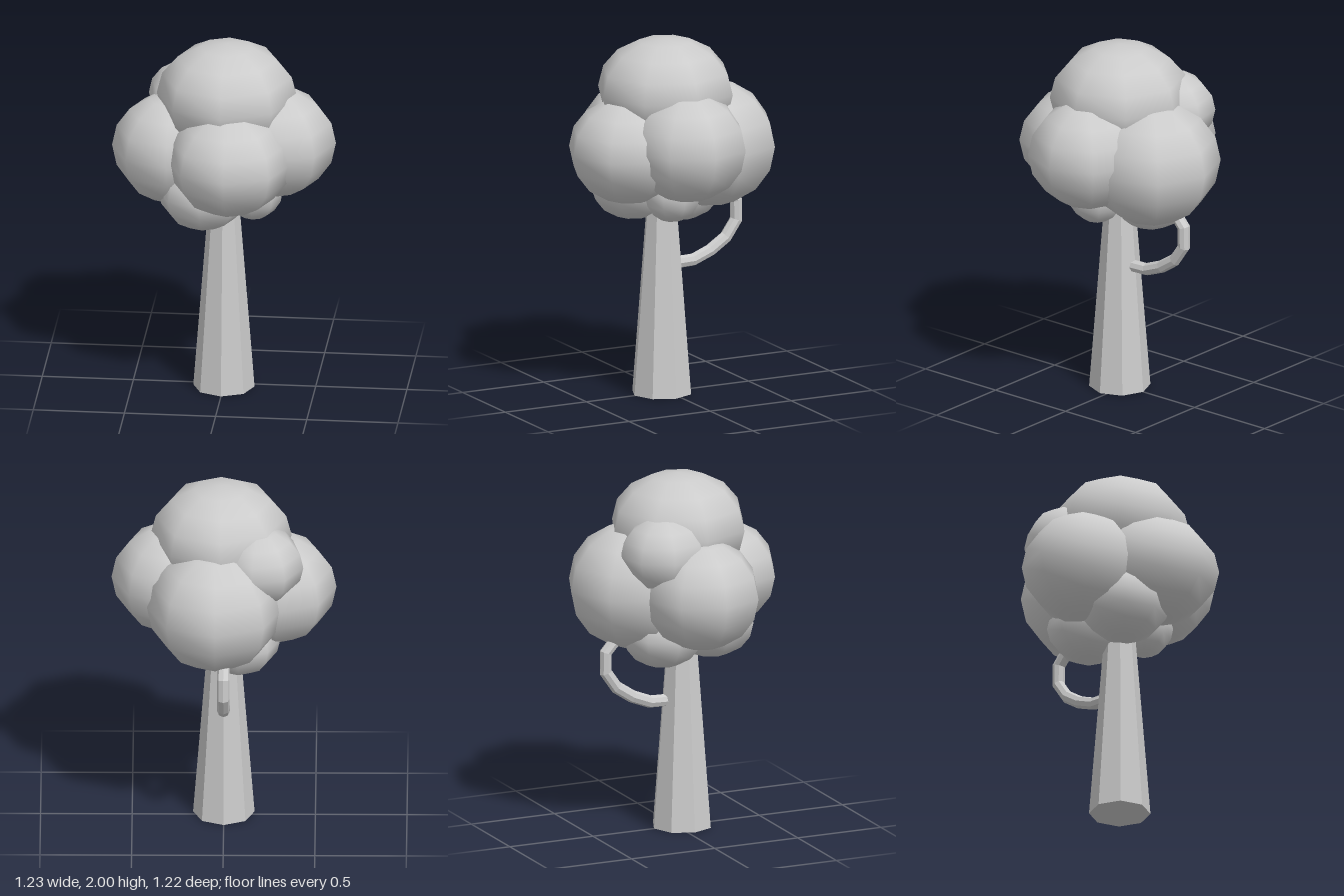
import * as THREE from 'three';

export function createModel() {
  const tree = new THREE.Group();
  tree.name = 'tree';
  const leafMaterial = new THREE.MeshStandardMaterial({ color: 0xcccccc });
  const barkMaterial = new THREE.MeshStandardMaterial({ color: 0xcccccc, flatShading: true });

  // Tapered eight-sided trunk, its top hidden in the crown
  const trunk = new THREE.Mesh(new THREE.CylinderGeometry(0.067, 0.168, 1.3, 8), barkMaterial);
  trunk.name = 'trunk';
  trunk.position.set(0, 0.65, 0.035);
  tree.add(trunk);

  // Branch curving out of the back of the trunk and up into the crown
  const path = new THREE.CatmullRomCurve3([
    [-0.045, 0.72], [-0.165, 0.725], [-0.29, 0.78], [-0.39, 0.86],
    [-0.432, 0.957], [-0.41, 1.06], [-0.34, 1.12], [-0.24, 1.15],
  ].map(([z, y]) => new THREE.Vector3(0, y, z)));
  const branch = new THREE.Mesh(new THREE.TubeGeometry(path, 7, 0.035, 8), barkMaterial);
  branch.name = 'branch';
  tree.add(branch);

  // Crown: flattened low-poly balls [name, x, y, z, radius, half height, turn]
  const crown = new THREE.Group();
  crown.name = 'crown';
  const ball = new THREE.SphereGeometry(1, 8, 8);
  [
    ['topFoliage', 0.015, 1.7, 0.02, 0.385, 0.3, 0],
    ['frontFoliage', 0.05, 1.4, 0.263, 0.343, 0.292, 0],
    ['backFoliage', 0.045, 1.385, -0.235, 0.375, 0.348, 0],
    ['leftFoliage', 0.283, 1.44, 0.022, 0.33, 0.302, 0],
    ['rightFoliage', -0.285, 1.383, 0.022, 0.33, 0.305, 0],
    ['upperBackFoliage', -0.195, 1.61, -0.165, 0.244, 0.212, -0.17],
    ['lowerFrontFoliage', -0.1, 1.18, 0.16, 0.25, 0.205, 0],
    ['lowerLeftFoliage', 0.165, 1.16, 0.06, 0.16, 0.16, 0],
    ['lowerBackFoliage', -0.08, 1.13, -0.12, 0.23, 0.19, 0],
  ].forEach(([name, x, y, z, radius, halfHeight, turn]) => {
    const foliage = new THREE.Mesh(ball, leafMaterial);
    foliage.name = name;
    foliage.position.set(x, y, z);
    foliage.scale.set(radius, halfHeight, radius);
    foliage.rotation.y = turn;
    crown.add(foliage);
  });
  tree.add(crown);

  return tree;
}
